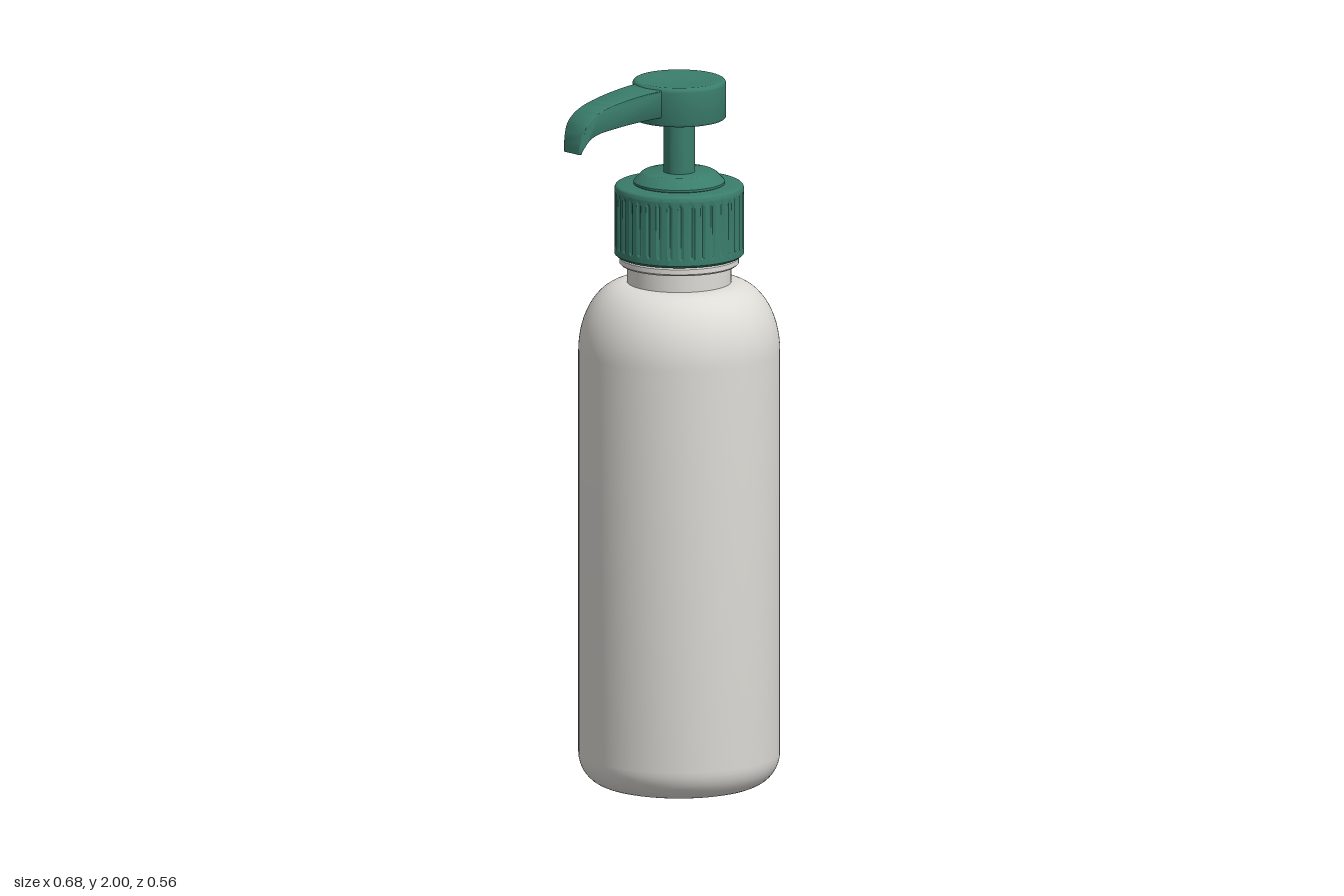
import * as THREE from 'three';
import { toCreasedNormals } from 'three/addons/utils/BufferGeometryUtils.js';

const AXIS_X = 0.055;
const white = new THREE.MeshStandardMaterial({ name: 'offWhitePlastic', color: 0xdedcd7 });
const green = new THREE.MeshStandardMaterial({ name: 'greenPlastic', color: 0x3a7d6b });

// Points of an elliptical arc around (cx, cy)
function arc(cx, cy, rx, ry, from, to, n = 10) {
  return Array.from({ length: n + 1 }, (_, i) => {
    const a = THREE.MathUtils.degToRad(from + (to - from) * i / n);
    return [cx + rx * Math.cos(a), cy + ry * Math.sin(a)];
  });
}

function turned(name, profile, material, segments = 72) {
  const pts = profile.map(([r, y]) => new THREE.Vector2(Math.max(r, 0), y));
  const geo = toCreasedNormals(new THREE.LatheGeometry(pts, segments), 0.6);
  const mesh = new THREE.Mesh(geo, material);
  mesh.name = name;
  mesh.position.x = AXIS_X;
  return mesh;
}

// Cap with shallow vertical grooves around its side
function makeCap() {
  const ribs = 36;
  const cap = turned('ribbedCap', [
    [0.13, 1.53], [0.16, 1.53], [0.163, 1.5], [0.172, 1.5], [0.18, 1.507], [0.18, 1.522],
    [0.1799, 1.53], [0.1799, 1.67], [0.18, 1.685],
    ...arc(0.167, 1.69, 0.013, 0.013, 0, 90, 5), [0.1, 1.703],
  ], green, ribs * 4);
  const p = cap.geometry.attributes.position;
  for (let i = 0; i < p.count; i++) {
    const x = p.getX(i), z = p.getZ(i), y = p.getY(i);
    if (y < 1.525 || y > 1.675 || Math.hypot(x, z) < 0.175) continue;
    const step = Math.round(Math.atan2(x, z) / (Math.PI * 2) * ribs * 4);
    const k = ((step % 4) + 4) % 4 === 0 ? 1 - 0.005 / 0.18 : 1;
    p.setXYZ(i, x * k, y, z * k);
  }
  cap.geometry = toCreasedNormals(cap.geometry, 0.6);
  return cap;
}

// Curved spout: side outline extruded, then narrowed towards the tip
function makeSpout() {
  const s = new THREE.Shape();
  s.moveTo(-0.04, 1.994);
  s.lineTo(-0.08, 1.993);
  s.quadraticCurveTo(-0.16, 1.988, -0.23, 1.974);
  s.bezierCurveTo(-0.31, 1.958, -0.345, 1.93, -0.345, 1.848);
  s.lineTo(-0.338, 1.848);
  s.bezierCurveTo(-0.32, 1.892, -0.29, 1.9, -0.23, 1.905);
  s.quadraticCurveTo(-0.15, 1.915, -0.04, 1.915);
  s.closePath();
  const bevel = 0.003;
  const raw = new THREE.ExtrudeGeometry(s, {
    depth: 2 - 0.24, curveSegments: 12, bevelEnabled: true,
    bevelSize: bevel, bevelOffset: -bevel, bevelThickness: 0.12, bevelSegments: 3,
  });
  raw.translate(0, 0, -(2 - 0.24) / 2);
  const p = raw.attributes.position;
  for (let i = 0; i < p.count; i++) {
    const x = p.getX(i);
    const t = THREE.MathUtils.clamp((x + 0.345) / 0.275, 0, 1);
    const rounding = 0.006 * Math.max(0, 1 - t / 0.06);
    p.setZ(i, p.getZ(i) * (0.039 + 0.019 * t - rounding));
  }
  const mesh = new THREE.Mesh(toCreasedNormals(raw, 0.6), green);
  mesh.name = 'spout';
  return mesh;
}

export function createModel() {
  const model = new THREE.Group();
  model.name = 'pumpBottle';

  // Bottle with rounded base, round shoulder, neck and neck ring
  model.add(turned('bottleBody', [
    [0, 0.004], [0.19, 0.004], [0.195, 0],
    ...arc(0.195, 0.09, 0.085, 0.09, -90, 0),
    ...arc(0.15, 1.23, 0.13, 0.195, 0, 90, 16), [0.14, 1.425],
  ], white, 96));
  model.add(turned('bottleNeck', [
    [0.145, 1.42], [0.145, 1.475], [0.161, 1.475], [0.166, 1.48],
    [0.166, 1.494], [0.161, 1.499], [0.14, 1.499], [0.14, 1.54],
  ], white));

  // Pump
  model.add(makeCap());
  model.add(turned('collar', [
    [0.115, 1.698], [0.127, 1.705], [0.127, 1.711], [0.105, 1.734], [0.098, 1.738], [0, 1.738],
  ], green));
  model.add(turned('stem', [[0.044, 1.73], [0.044, 1.9]], green, 40));
  model.add(turned('pumpHead', [
    [0, 1.89], [0.124, 1.89], ...arc(0.124, 1.896, 0.006, 0.006, -90, 0, 3),
    ...arc(0.118, 1.988, 0.012, 0.012, 0, 90, 5),
    [0.09, 1.997], [0.05, 1.993], [0, 1.991],
  ], green));
  model.add(makeSpout());
  return model;
}
